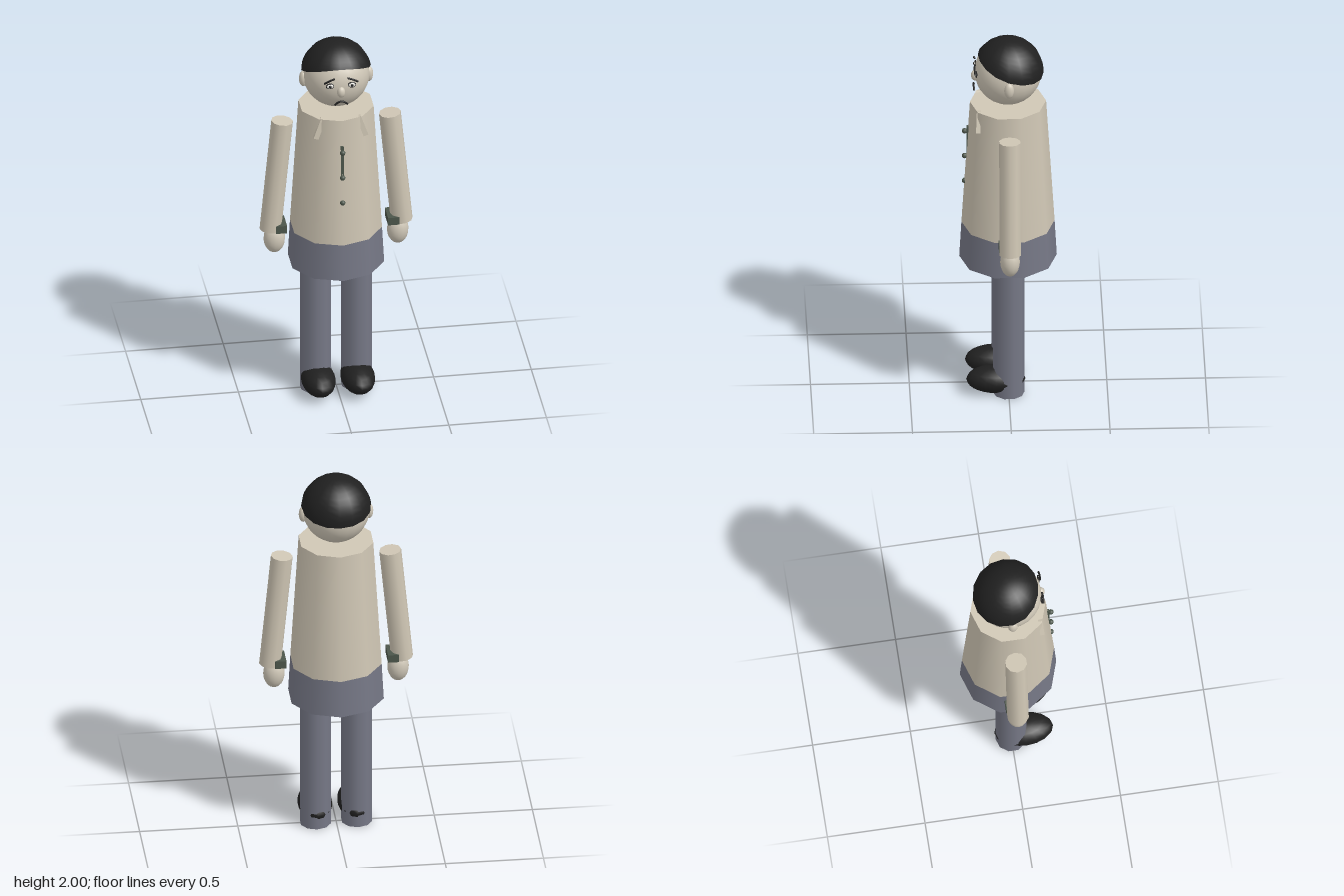
import * as THREE from 'three';

const mat = (name, color, side = THREE.FrontSide) => {
  const m = new THREE.MeshStandardMaterial({ color, side });
  m.name = name;
  return m;
};

export function createModel() {
  const coat = mat('coat beige', 0xd0c7b5);
  const skin = mat('skin', 0xd0c8b8);
  const slate = mat('trouser slate', 0x767886);
  const green = mat('trim green', 0x4c564b);
  const black = mat('black', 0x202020, THREE.DoubleSide);
  const white = mat('eye white', 0xe4e2dc);

  const root = new THREE.Group();
  root.name = 'figure';

  const add = (name, geo, material, x, y, z, rotZ = 0) => {
    const m = new THREE.Mesh(geo, material);
    m.name = name;
    m.position.set(x, y, z);
    m.rotation.z = rotZ;
    root.add(m);
    return m;
  };
  const ellipsoid = (rx, ry, rz, w = 16, h = 12) =>
    new THREE.SphereGeometry(1, w, h).scale(rx, ry, rz);
  const box = (w, h, d) => new THREE.BoxGeometry(w, h, d);

  // Coat and the slate hem below it
  add('coat', new THREE.CylinderGeometry(0.193, 0.236, 0.7, 10), coat, 0, 1.29, 0);
  add('hem', new THREE.CylinderGeometry(0.236, 0.247, 0.2, 10), slate, 0, 0.84, 0);

  // Front placket and buttons
  add('placket', box(0.014, 0.4, 0.02), green, 0, 1.3, 0.201);
  for (const y of [1.47, 1.325, 1.18])
    add('button', ellipsoid(0.014, 0.014, 0.014, 10, 8), green, 0, y, 0.22);

  // Head and nose
  add('head', ellipsoid(0.17, 0.17, 0.17, 24, 18), skin, 0, 1.815, 0);
  add('nose', ellipsoid(0.021, 0.03, 0.021, 12, 10), skin, 0, 1.795, 0.167);

  // Hair cap: a sphere whose rim rises at the front and drops at the back
  const hair = new THREE.SphereGeometry(0.18, 16, 10, 0, Math.PI * 2, 0, Math.PI / 2);
  const pos = hair.attributes.position;
  const uv = hair.attributes.uv;
  for (let i = 0; i < pos.count; i++) {
    const a = uv.getX(i) * Math.PI * 2;
    const c = Math.sin(a); // +1 at the front, -1 at the back
    const rim = THREE.MathUtils.degToRad(90 - (8 + 19 * c + 5 * c * c));
    const t = (1 - uv.getY(i)) * rim;
    const p = new THREE.Vector3(-Math.cos(a) * Math.sin(t), Math.cos(t), c * Math.sin(t));
    pos.setXYZ(i, p.x * 0.18, p.y * 0.18, p.z * 0.18);
    hair.attributes.normal.setXYZ(i, p.x, p.y, p.z);
  }
  add('hair', hair, black, 0, 1.82, 0);

  // Downturned mouth
  const mouth = new THREE.QuadraticBezierCurve3(
    new THREE.Vector3(-0.033, 1.725, 0.172),
    new THREE.Vector3(0, 1.765, 0.178),
    new THREE.Vector3(0.033, 1.725, 0.172));
  add('mouth', new THREE.TubeGeometry(mouth, 10, 0.005, 6), black, 0, 0, 0);

  // Paired parts
  for (const s of [-1, 1]) {
    // Legs and shoes
    add('leg', new THREE.CylinderGeometry(0.08, 0.08, 0.74, 10), slate, s * 0.105, 0.37, 0);
    add('shoe', ellipsoid(0.087, 0.07, 0.15, 16, 10), black, s * 0.101, 0.077, 0.065);

    // Sleeve, cuff strap and hand
    const sleeve = new THREE.CylinderGeometry(0.056, 0.056, 0.626, 10, 1, false, Math.PI / 2);
    add('sleeve', sleeve, coat, s * 0.306, 1.248, 0, s * 0.096);
    add('cuff', box(0.057, 0.042, 0.112), green, s * 0.287, 0.955, 0);
    add('hand', ellipsoid(0.055, 0.08, 0.05), skin, s * 0.316, 0.882, 0);

    // Collar flaps
    const flap = add('collarFlap', box(0.026, 0.115, 0.022), coat, s * 0.109, 1.585, 0.153, s * 0.34);
    flap.rotation.x = -0.05;

    // Ears, eyes and sad eyebrows
    add('ear', ellipsoid(0.022, 0.043, 0.025, 12, 10), skin, s * 0.168, 1.796, 0);
    add('eyeOutline', ellipsoid(0.022, 0.016, 0.006, 14, 8), black, s * 0.056, 1.831, 0.163);
    add('eye', ellipsoid(0.018, 0.012, 0.006, 14, 8), white, s * 0.056, 1.831, 0.166);
    add('pupil', ellipsoid(0.008, 0.008, 0.005, 10, 8), black, s * 0.056, 1.831, 0.17);
    const brow = new THREE.QuadraticBezierCurve3(
      new THREE.Vector3(s * 0.033, 1.874, 0.168),
      new THREE.Vector3(s * 0.06, 1.868, 0.174),
      new THREE.Vector3(s * 0.086, 1.85, 0.168));
    add('eyebrow', new THREE.TubeGeometry(brow, 8, 0.005, 6), black, 0, 0, 0);
  }

  return root;
}
